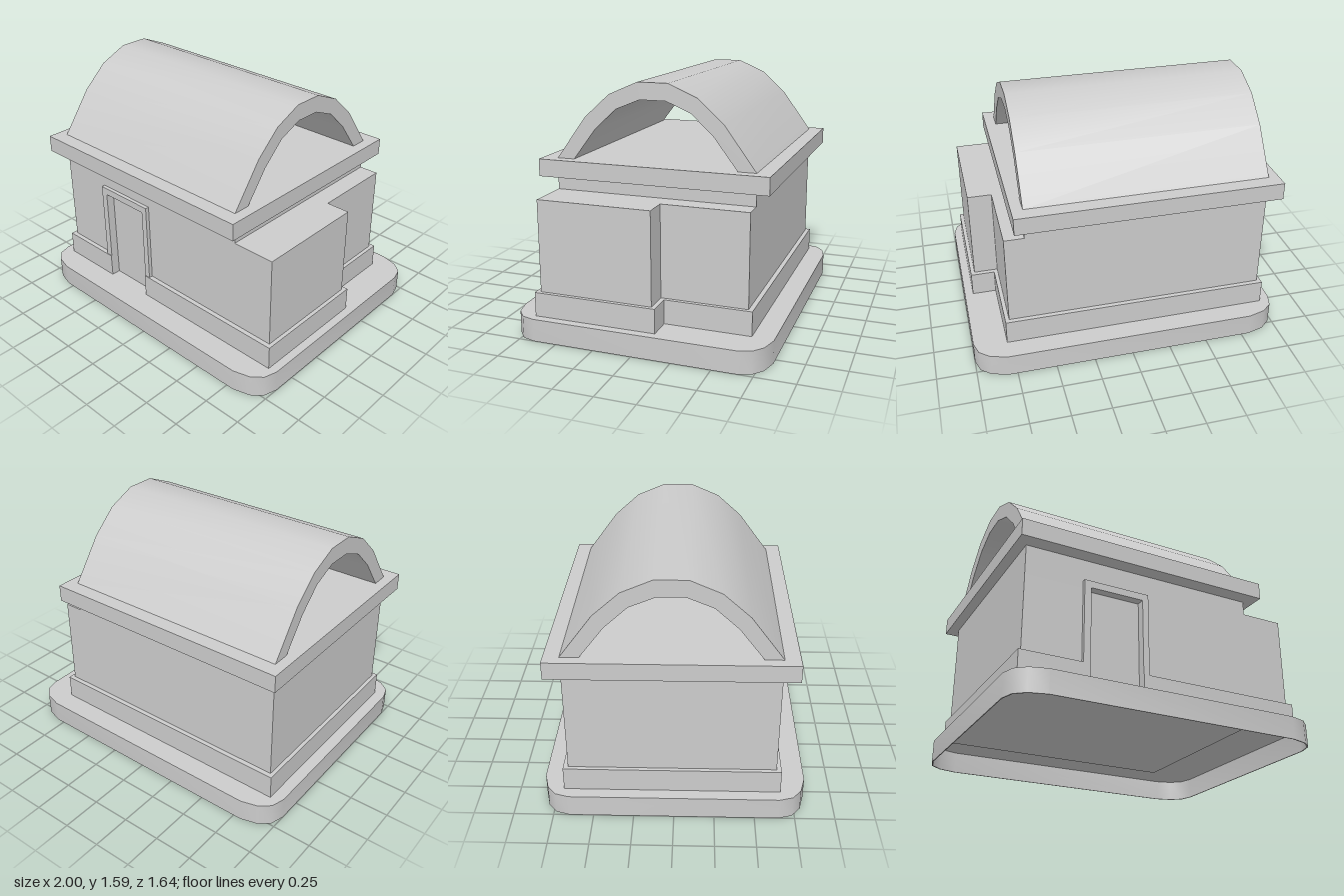
import * as THREE from 'three';
import { toCreasedNormals } from 'three/addons/utils/BufferGeometryUtils.js';

const material = new THREE.MeshStandardMaterial({ color: 0xcccccc, side: THREE.DoubleSide });

function outline(points) {
  return new THREE.Shape(points.map(([a, b]) => new THREE.Vector2(a, b)));
}

function extrude(shape, depth) {
  return new THREE.ExtrudeGeometry(shape, { depth, bevelEnabled: false, curveSegments: 4 });
}

export function createModel() {
  const group = new THREE.Group();

  function add(name, geometry) {
    const mesh = new THREE.Mesh(toCreasedNormals(geometry, 0.6), material);
    mesh.name = name;
    group.add(mesh);
  }

  // Raises a floor plan of [x, z] points from y0 to y1
  function raise(name, plan, y0, y1, hole) {
    const shape = outline(plan.map(([x, z]) => [x, -z]));
    if (hole) shape.holes.push(outline(hole.map(([x, z]) => [x, -z])));
    add(name, extrude(shape, y1 - y0).rotateX(-Math.PI / 2).translate(0, y0, 0));
  }

  const rect = (x0, x1, z0, z1) => [[x0, z1], [x1, z1], [x1, z0], [x0, z0]];

  // Stepped plan of the house, with an optional doorway recess in the front
  const doorLeft = -0.485, doorRight = -0.14, doorBack = 0.6;
  function housePlan(x0, x1, xStep, z0, z1, zStep, door) {
    const recess = door
      ? [[doorLeft, z1], [doorLeft, doorBack], [doorRight, doorBack], [doorRight, z1]] : [];
    return [[x0, z1], ...recess, [x1, z1], [x1, zStep], [xStep, zStep], [xStep, z0], [x0, z0]];
  }

  // Hollow base with chamfer-rounded corners, open underneath
  const corner = [[0.8, 0.82], [0.91, 0.79], [0.975, 0.735], [1, 0.65]];
  const reversed = [...corner].reverse();
  const basePlan = [
    ...corner,
    ...reversed.map(([x, z]) => [x, -z]),
    ...corner.map(([x, z]) => [-x, -z]),
    ...reversed.map(([x, z]) => [-x, z]),
  ];
  const baseInner = basePlan.map(([x, z]) => [x * 0.994, z * 0.993]);
  raise('baseRim', basePlan, 0, 0.145, baseInner);
  raise('baseTop', baseInner, 0.135, 0.145);
  raise('floorPanel', rect(-0.9, 0.64, -0.58, 0.58), 0.125, 0.135);

  // Plinth and walls, both cut by the doorway
  raise('plinth', housePlan(-0.925, 0.945, 0.79, -0.685, 0.66, -0.135, true), 0.145, 0.3);
  raise('lowerWalls', housePlan(-0.9, 0.92, 0.765, -0.655, 0.63, -0.105, true), 0.145, 0.79);
  raise('upperWalls', housePlan(-0.9, 0.92, 0.765, -0.655, 0.63, -0.105, false), 0.79, 0.89);
  raise('wallHead', rect(-0.9, 0.64, -0.655, 0.63), 0.89, 0.98);

  // Door surround
  const frame = outline([
    [-0.53, 0.145], [-0.53, 0.835], [-0.1, 0.835], [-0.1, 0.145],
    [doorRight, 0.145], [doorRight, 0.79], [doorLeft, 0.79], [doorLeft, 0.145],
  ]);
  add('doorFrame', extrude(frame, 0.045).translate(0, 0, 0.61));

  // Roof slab and the barrel vault on top of it
  raise('roofSlab', rect(-0.965, 0.71, -0.75, 0.725), 0.98, 1.09);

  const centre = 0.0125; // vault axis lies slightly behind the middle
  const outer = [[0.642, 1.09], [0.443, 1.36], [0.282, 1.505], [0.097, 1.585]];
  const inner = [[0.528, 1.09], [0.38, 1.285], [0.24, 1.415], [0.083, 1.48]];
  const arch = (half) => [
    ...half.map(([z, y]) => [centre - z, y]),
    ...[...half].reverse().map(([z, y]) => [centre + z, y]),
  ];
  const vault = outline([...arch(outer), ...arch(inner).reverse()]);
  add('vaultedRoof', extrude(vault, 1.54).rotateY(Math.PI / 2).translate(-0.9, 0, 0));

  return group;
}
